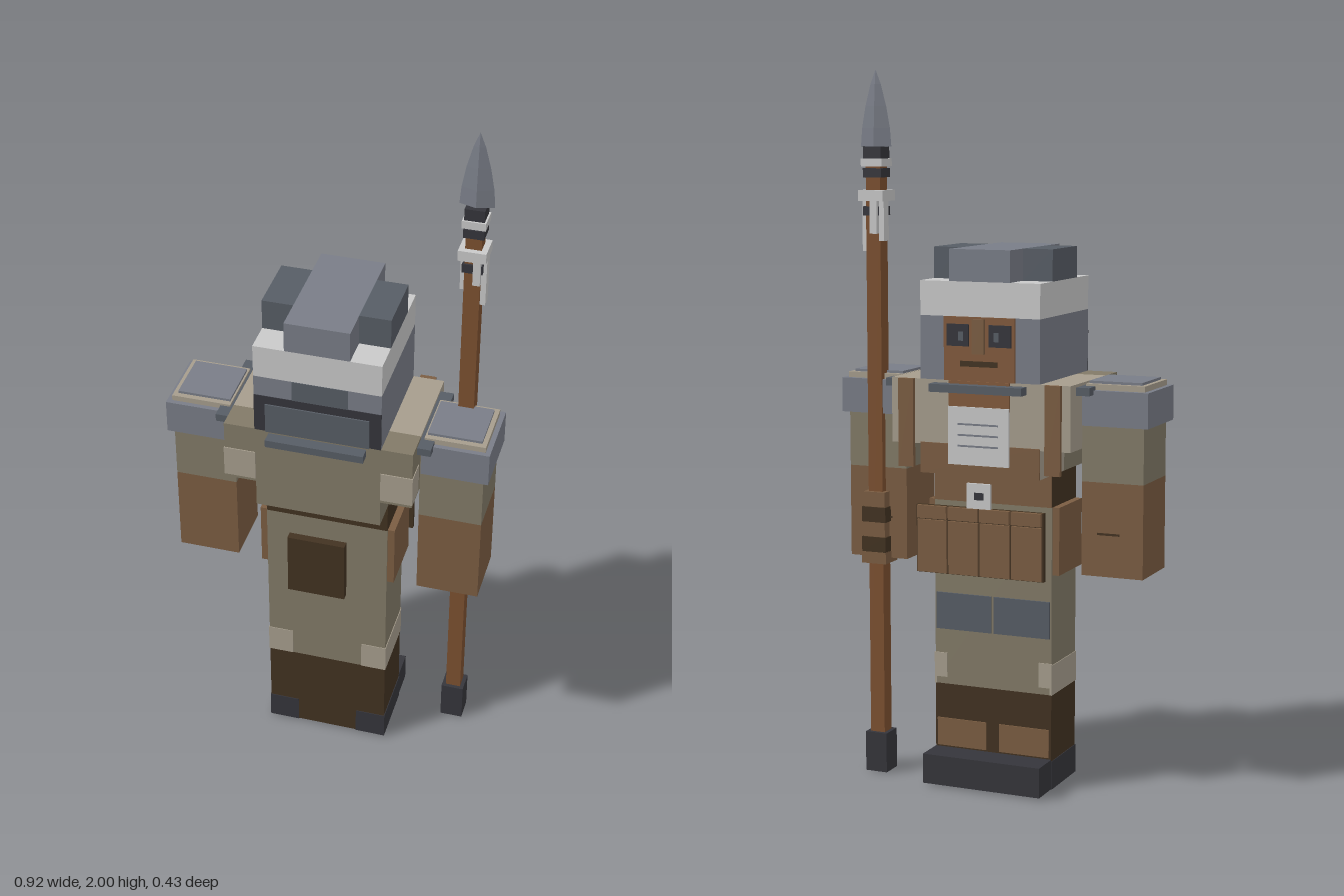
import * as THREE from 'three';

const paint = (name, color) => {
  const m = new THREE.MeshStandardMaterial({ color });
  m.name = name;
  return m;
};

export function createModel() {
  const root = new THREE.Group();
  const steel = paint('steel', 0x797d87), darkSteel = paint('darkSteel', 0x575d65);
  const white = paint('white', 0xc9c9c9), tan = paint('tan', 0xa69d8d);
  const olive = paint('olive', 0x827a67), leather = paint('leather', 0x7b5d42);
  const darkLeather = paint('darkLeather', 0x423221), wood = paint('wood', 0x7c5030);
  const charcoal = paint('charcoal', 0x35353b), skin = paint('skin', 0x825a3c);

  // Box given by its two extreme corners
  const box = (name, mat, x0, x1, y0, y1, z0, z1, parent = root) => {
    const mesh = new THREE.Mesh(new THREE.BoxGeometry(x1 - x0, y1 - y0, z1 - z0), mat);
    mesh.position.set((x0 + x1) / 2, (y0 + y1) / 2, (z0 + z1) / 2);
    mesh.name = name;
    parent.add(mesh);
  };
  // The same box on both sides of x = 0
  const pair = (name, mat, x0, x1, ...rest) => {
    box(name + 'Left', mat, x0, x1, ...rest);
    box(name + 'Right', mat, -x1, -x0, ...rest);
  };
  const W = 0.177, D = 0.178, T = 0.004;
  // Thin painted plate on a face at depth z
  const plate = (name, mat, x0, x1, y0, y1, z, t = T) => box(name, mat, x0, x1, y0, y1, z - t, z + t);

  // Boots and legs
  box('shins', darkLeather, -W, W, 0.01, 0.28, -0.09, 0.09);
  box('trousers', olive, -W, W, 0.28, 0.81, -0.09, 0.09);
  box('belt', darkLeather, -W, W, 0.81, 0.9, -0.09, 0.09);
  box('bootToes', charcoal, -W, W, 0.01, 0.095, -D, -0.09);
  plate('solePatch', darkLeather, -0.08, 0.08, 0.008, 0.012, -0.05, 0.07);
  pair('heel', charcoal, 0.09, W + 0.002, 0.009, 0.09, -0.09, 0.092);
  pair('kneePatch', tan, 0.105, W + 0.002, 0.28, 0.365, 0.08, 0.092);
  pair('kneeSide', tan, W - 0.005, W + 0.002, 0.28, 0.365, -0.092, 0.09);
  pair('kneeFront', tan, 0.14, W + 0.002, 0.3, 0.37, -0.093, -0.088);
  pair('shinPad', leather, 0.02, 0.17, 0.1, 0.18, -0.094, -0.088);
  pair('thighPlate', darkSteel, 0.004, 0.172, 0.44, 0.545, -0.095, -0.088);
  plate('beltFront', leather, -W, W, 0.81, 0.9, -0.09);

  // Hanging pouches and hip panels
  box('backPouch', darkLeather, -0.085, 0.08, 0.62, 0.81, 0.17, 0.193);
  pair('hipPanel', leather, W, 0.197, 0.62, 0.81, -0.085, 0.085);
  box('pouchBacking', darkLeather, -0.19, 0.19, 0.62, 0.81, -0.182, -0.168);
  for (let i = 0; i < 4; i++) {
    const x = -0.186 + i * 0.094;
    box('pouch' + i, leather, x, x + 0.088, 0.623, 0.77, -0.191, -0.18);
    box('pouchFlap' + i, leather, x, x + 0.088, 0.774, 0.81, -0.193, -0.18);
  }
  plate('buckle', white, -0.035, 0.035, 0.81, 0.88, -0.184);
  plate('bucklePin', charcoal, -0.015, 0.012, 0.835, 0.855, -0.187);

  // Torso and shoulders
  box('chest', tan, -W, W, 0.9, 1.16, -D, 0);
  box('upperBack', olive, -W, W, 0.9, 1.16, 0, D);
  plate('chestLower', leather, -W, W, 0.9, 0.985, -D);
  pair('shoulderFront', tan, W, 0.265, 0.98, 1.16, -D, 0.09);
  pair('shoulderBack', olive, W, 0.265, 0.98, 1.16, 0.09, D);
  pair('shoulderPatch', tan, 0.177, 0.267, 0.99, 1.08, 0.11, D + 0.003);
  pair('strap', leather, 0.195, 0.24, 0.915, 1.16, -0.191, -D);
  plate('chestTablet', white, -0.09, 0.09, 0.93, 1.09, -0.186);
  for (let i = 0; i < 3; i++) plate('tabletLine' + i, steel, -0.06, 0.06, 0.98 + i * 0.03, 0.985 + i * 0.03, -0.189, 0.003);
  plate('collarPatch', skin, -0.09, 0.09, 1.08, 1.16, -0.181);
  box('collarFront', darkSteel, -0.138, 0.136, 1.13, 1.152, -0.216, -D);
  box('collarBack', darkSteel, -0.138, 0.136, 1.13, 1.152, D, 0.212);
  pair('shoulderClasp', darkSteel, 0.262, 0.303, 1.13, 1.152, -0.138, 0.134);

  // Arms with stepped shoulder guards
  pair('sleeve', olive, 0.265, 0.442, 0.89, 1.14, -0.09, 0.09);
  pair('forearm', leather, 0.265, 0.442, 0.63, 0.89, -0.09, 0.09);
  pair('gloveSeam', darkLeather, 0.31, 0.375, 0.745, 0.751, -0.092, -0.088);
  pair('shoulderGuard', steel, 0.27, 0.458, 1.045, 1.142, -0.105, 0.105);
  pair('guardRim', tan, 0.275, 0.444, 1.142, 1.158, -0.091, 0.091);
  pair('guardTop', steel, 0.28, 0.431, 1.158, 1.165, -0.077, 0.075);

  // Helmet
  box('helmet', steel, -W, W, 1.16, 1.335, -D, D);
  box('helmetBand', white, -W, W, 1.335, 1.43, -D, D);
  box('crest', steel, -0.09, 0.09, 1.43, 1.517, -D, D);
  pair('crestSide', darkSteel, 0.09, W, 1.43, 1.517, -0.09, 0.09);
  plate('neckFrame', charcoal, -W, W, 1.16, 1.275, D, 0.002);
  plate('neckPanel', darkSteel, -0.145, 0.145, 1.16, 1.25, D + 0.002);
  plate('neckBadge', darkSteel, -0.07, 0.085, 1.275, 1.335, D, 0.002);

  // Face
  plate('face', skin, -0.105, 0.105, 1.16, 1.335, -D);
  pair('eye', charcoal, 0.03, 0.095, 1.255, 1.315, -0.186, -0.18);
  pair('iris', darkSteel, 0.045, 0.06, 1.27, 1.295, -0.188, -0.183);
  box('nose', leather, -0.018, 0.018, 1.235, 1.33, -0.191, -0.18);
  plate('mouth', darkLeather, -0.055, 0.055, 1.2, 1.215, -0.182);

  // Spear: shaft, bindings, grip and butt
  const spear = new THREE.Group();
  spear.name = 'spear';
  spear.position.set(0.353, 0, -0.088);
  root.add(spear);
  const ring = (name, mat, r, y0, y1) => box(name, mat, -r, r, y0, y1, -r, r, spear);
  ring('shaft', wood, 0.022, 0.1, 1.76);
  ring('butt', charcoal, 0.033, 0.005, 0.12);
  ring('upperBinding', charcoal, 0.028, 1.705, 1.73);
  ring('whiteBinding', white, 0.032, 1.735, 1.757);
  ring('socket', charcoal, 0.027, 1.757, 1.79);
  ring('ribbonBand', white, 0.038, 1.64, 1.67);
  ring('darkBand', charcoal, 0.028, 1.6, 1.625);
  ring('gripBase', leather, 0.038, 0.617, 0.65);
  for (let i = 0; i < 4; i++) ring('gripWrap' + i, i % 2 ? leather : darkLeather, 0.037 - (i % 2) * 0.004, 0.65 + i * 0.043, 0.693 + i * 0.043);
  box('ribbonA', white, -0.037, -0.022, 1.53, 1.65, -0.03, 0.0, spear);
  box('ribbonB', white, 0.022, 0.037, 1.5, 1.65, -0.015, 0.015, spear);
  box('ribbonC', white, -0.018, 0.004, 1.55, 1.65, -0.037, -0.022, spear);
  box('ribbonD', white, 0.004, 0.024, 1.57, 1.65, 0.022, 0.037, spear);

  // Leaf blade: a faceted lathe flattened to a diamond section
  const profile = [[0, 1.785], [0.047, 1.79], [0.043, 1.84], [0.032, 1.9], [0.016, 1.96], [0, 2]];
  const leaf = new THREE.LatheGeometry(profile.map(([r, y]) => new THREE.Vector2(r, y)), 4).toNonIndexed();
  leaf.scale(1, 1, 0.32);
  leaf.computeVertexNormals();
  const blade = new THREE.Mesh(leaf, steel);
  blade.name = 'blade';
  spear.add(blade);

  return root;
}
